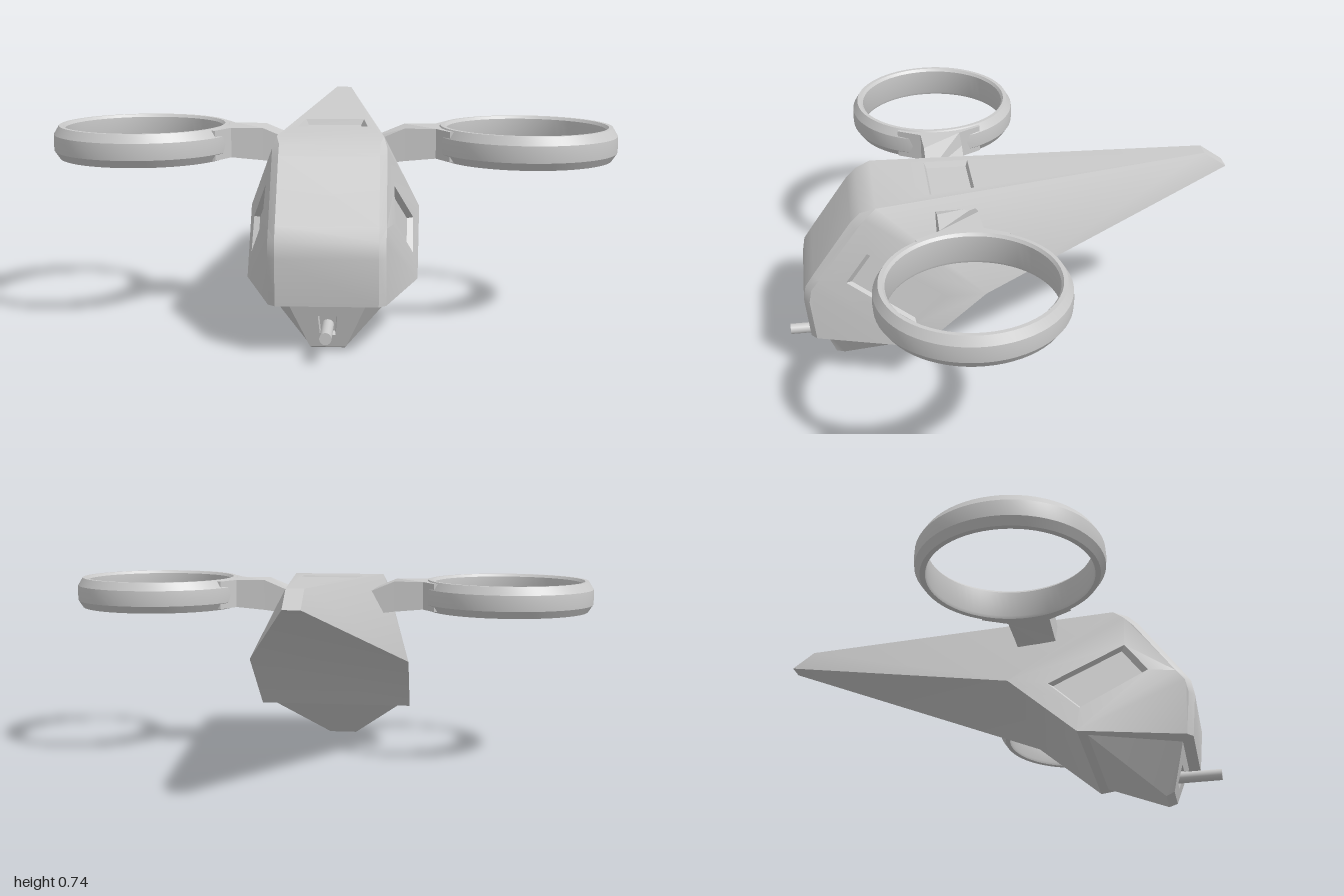
import * as THREE from 'three';
import { toCreasedNormals } from 'three/addons/utils/BufferGeometryUtils.js';

const V = (x, y, z) => new THREE.Vector3(x, y, z);
const flip = (pts) => pts.map((p) => V(-p.x, p.y, p.z));
const middle = (pts) => pts.reduce((s, p) => s.add(p), V(0, 0, 0)).divideScalar(pts.length);
const material = new THREE.MeshStandardMaterial({ color: 0xcccccc });

// Newell normal of a nearly flat polygon
function faceNormal(pts) {
  const n = V(0, 0, 0);
  pts.forEach((p, i) => n.add(p.clone().cross(pts[(i + 1) % pts.length])));
  return n.normalize();
}

// Collects flat faces (optionally with a sunk opening) into one solid around a centre point
class Shell {
  constructor(centre) {
    this.centre = centre;
    this.out = [];
  }

  face(pts, hole = null, dir = middle(pts).sub(this.centre)) {
    const n = faceNormal(pts);
    const a = [Math.abs(n.x), Math.abs(n.y), Math.abs(n.z)];
    const k = a.indexOf(Math.max(...a));
    const flat = (p) => k === 0 ? new THREE.Vector2(p.z, p.y)
      : k === 1 ? new THREE.Vector2(p.x, p.z) : new THREE.Vector2(p.x, p.y);
    const all = hole ? [...pts, ...hole] : pts;
    const tris = THREE.ShapeUtils.triangulateShape(pts.map(flat), hole ? [hole.map(flat)] : []);
    for (const t of tris) {
      const [p, q, r] = t.map((i) => all[i]);
      const tn = q.clone().sub(p).cross(r.clone().sub(p));
      for (const v of tn.dot(dir) >= 0 ? [p, q, r] : [p, r, q]) this.out.push(v.x, v.y, v.z);
    }
  }

  // Face with a recess: opening, sloped walls and floor
  recessed(pts, hole, depth) {
    const n = faceNormal(pts);
    if (n.dot(middle(pts).sub(this.centre)) < 0) n.negate();
    this.face(pts, hole);
    const c = middle(hole);
    const floor = hole.map((p) => p.clone().lerp(c, 0.1).addScaledVector(n, -depth));
    hole.forEach((p, i) => {
      const j = (i + 1) % hole.length;
      const wall = [p, hole[j], floor[j], floor[i]];
      this.face(wall, null, c.clone().sub(middle(wall)));
    });
    this.face(floor, null, n);
  }

  both(pts) {
    this.face(pts);
    this.face(flip(pts));
  }

  mesh(name) {
    const g = new THREE.BufferGeometry();
    g.setAttribute('position', new THREE.Float32BufferAttribute(this.out, 3));
    const m = new THREE.Mesh(toCreasedNormals(g, 0.5), material);
    m.name = name;
    return m;
  }
}

function makeHull() {
  const s = new Shell(V(0, 0.5, 0.2));
  // Nose crown and its chamfered side edge, from chin to roof
  const crown = [[0.74, 0.17], [0.755, 0.33], [0.745, 0.385], [0.715, 0.43], [0.57, 0.635], [0.535, 0.67], [0.48, 0.69]]
    .map(([z, y], i) => V(i === 6 ? 0.18 : 0.168, y, z));
  const edge = [[0.72, 0.17], [0.735, 0.33], [0.725, 0.38], [0.695, 0.42], [0.553, 0.62], [0.52, 0.655], [0.48, 0.69]]
    .map(([z, y], i) => V(i === 6 ? 0.18 : 0.192, y, z));
  const A = V(0.308, 0.385, 0.11), B = V(0.3, 0.17, 0.35);
  const tailTop = V(0.03, 0.74, -0.735), tailLow = V(0.03, 0.68, -0.82);

  for (let i = 0; i < 6; i++) {
    s.face([crown[i], crown[i + 1], ...flip([crown[i + 1], crown[i]])]);
    if (i < 5) s.both([crown[i], crown[i + 1], edge[i + 1], edge[i]]);
    else s.both([crown[i], crown[6], edge[i]]);
  }

  // Side panels with sunk windows
  const panel = [...edge.slice(2), A, B];
  const win = [[0.52, 0.53], [0.6, 0.42], [0.36, 0.265], [0.25, 0.37]]
    .map(([z, y]) => V(0.3 - 0.159 * (y - 0.17) - 0.16 * (z - 0.35), y, z));
  s.recessed(panel, win, 0.02);
  s.recessed(flip(panel), flip(win), 0.02);
  s.both([B, edge[2], edge[1], edge[0]]);

  // Tail flanks, tip and belly
  s.both([edge[6], A, tailTop]);
  s.both([A, tailLow, tailTop]);
  s.face([tailTop, tailLow, ...flip([tailLow, tailTop])]);
  s.face([A, tailLow, ...flip([tailLow, A])]);
  s.face([A, B, ...flip([B, A])]);
  s.face([crown[0], edge[0], B, ...flip([B, edge[0], crown[0]])]);

  // Roof with sunk hatch
  const roofY = (z) => 0.69 + (0.48 - z) * 0.05 / 1.215;
  const hatch = [V(0.105, roofY(0.125), 0.125), V(0.122, roofY(0.285), 0.285)];
  s.recessed([edge[6], tailTop, ...flip([tailTop, edge[6]])],
    [...hatch, ...flip([hatch[1], hatch[0]])], 0.02);
  return s.mesh('hull');
}

function makeChin() {
  const s = new Shell(V(0, 0.11, 0.57));
  const front = V(0.13, 0.172, 0.7), back = V(0.26, 0.172, 0.38);
  const low = V(0.06, 0.012, 0.655), heel = V(0.055, 0, 0.625);
  const faceZ = (y) => 0.655 + (y - 0.012) * 0.045 / 0.16;
  const port = [V(0.032, 0.125, faceZ(0.125)), V(0.026, 0.055, faceZ(0.055))];
  s.recessed([front, low, ...flip([low, front])], [...port, ...flip([port[1], port[0]])], 0.02);
  s.both([front, back, heel, low]);
  s.face([back, heel, ...flip([heel, back])]);
  s.face([low, heel, ...flip([heel, low])]);
  s.face([front, back, ...flip([back, front])]);
  return s.mesh('chin');
}

// Ring duct with its arm, reaching out along +x
function makeRotor() {
  const g = new THREE.Group();
  const profile = [[0.284, 0.58], [0.302, 0.58], [0.32, 0.607], [0.322, 0.636], [0.32, 0.665], [0.302, 0.695],
    [0.288, 0.695], [0.28, 0.685], [0.28, 0.59], [0.284, 0.58]].map(([r, y]) => new THREE.Vector2(r, y));
  const ring = new THREE.Mesh(toCreasedNormals(new THREE.LatheGeometry(profile, 64), 0.45), material);
  ring.name = 'ringDuct';
  ring.position.x = 0.68;

  const plan = [[0.13, -0.072], [0.25, -0.072], [0.36, -0.075], [0.405, -0.16]];
  const shape = new THREE.Shape(plan.map(([x, z]) => new THREE.Vector2(x, z)));
  for (let i = 0; i <= 10; i++) {
    const a = (i / 10 - 0.5) * 1.1;
    shape.lineTo(0.68 - 0.292 * Math.cos(a), 0.292 * Math.sin(a));
  }
  plan.reverse().forEach(([x, z]) => shape.lineTo(x, -z));
  const geo = new THREE.ExtrudeGeometry(shape, { depth: 0.105, bevelEnabled: false });
  geo.rotateX(Math.PI / 2).translate(0, 0.69, 0);
  // Root of the arm bends down into the hull
  const p = geo.attributes.position;
  for (let i = 0; i < p.count; i++) {
    const x = p.getX(i);
    if (x < 0.2) p.setY(i, p.getY(i) > 0.64 ? 0.64 : 0.56);
    else if (x < 0.3 && p.getY(i) < 0.64) p.setY(i, 0.575);
  }
  geo.computeVertexNormals();
  const arm = new THREE.Mesh(geo, material);
  arm.name = 'arm';
  g.add(ring, arm);
  g.position.z = 0.2;
  return g;
}

export function createModel() {
  const model = new THREE.Group();
  model.name = 'ductedCraft';
  model.add(makeHull(), makeChin());

  const barrel = new THREE.Mesh(new THREE.CylinderGeometry(0.02, 0.02, 0.19, 16).rotateX(Math.PI / 2), material);
  barrel.name = 'barrel';
  barrel.position.set(0, 0.087, 0.727);
  model.add(barrel);

  const left = makeRotor(), right = makeRotor();
  left.name = 'leftRotor';
  right.name = 'rightRotor';
  right.rotation.y = Math.PI;
  model.add(left, right);
  return model;
}
